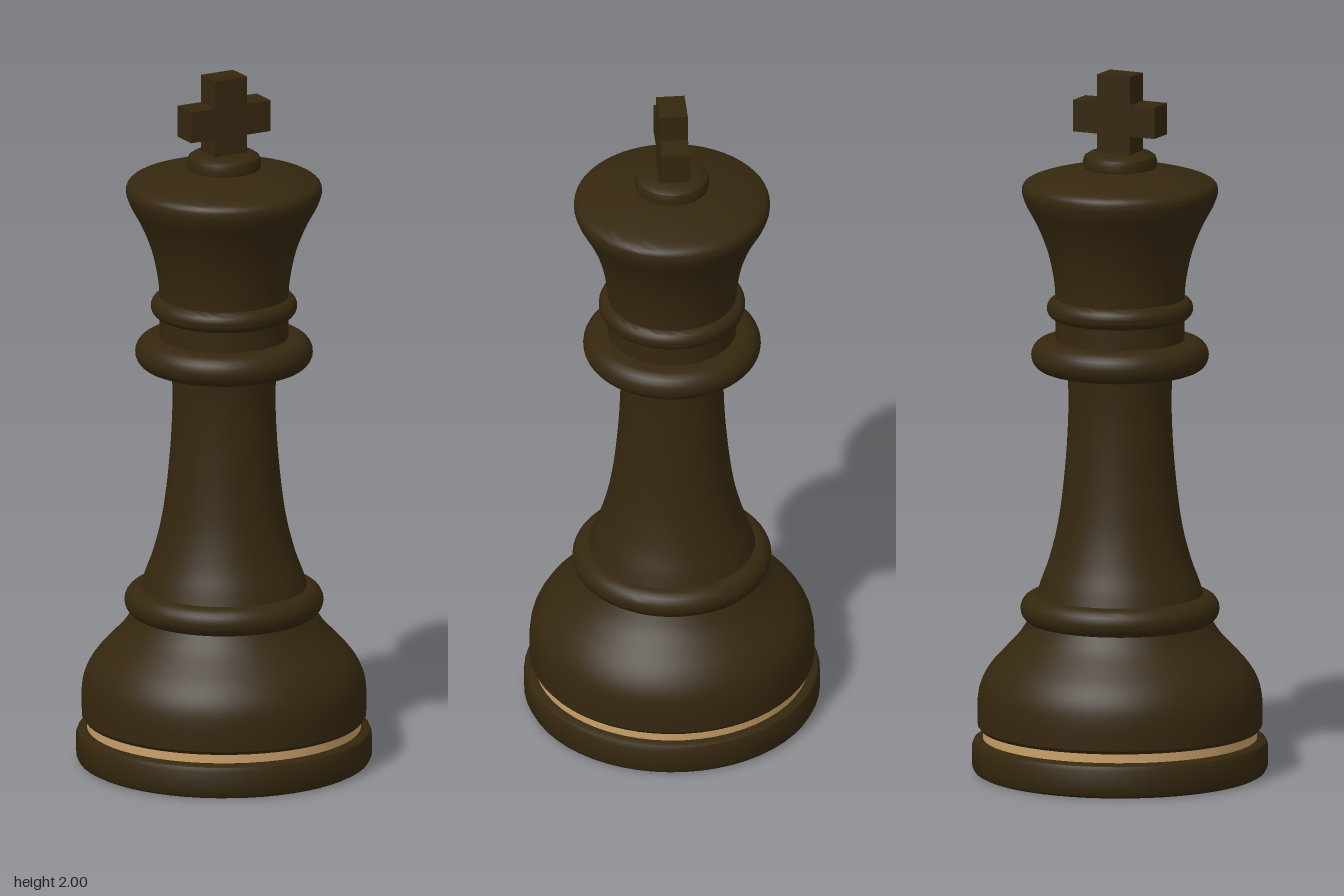
import * as THREE from 'three';
import { toCreasedNormals } from 'three/addons/utils/BufferGeometryUtils.js';

const darkWood = new THREE.MeshStandardMaterial({ color: 0x35270f });
darkWood.name = 'darkWood';
const paleWood = new THREE.MeshStandardMaterial({ color: 0xc8a068 });
paleWood.name = 'paleWood';

const vec = ([r, y]) => new THREE.Vector2(r, y);
const smooth = (pts, n = 20) => new THREE.SplineCurve(pts.map(vec)).getPoints(n);

export function createModel() {
  const king = new THREE.Group();
  king.name = 'chessKing';

  const add = (name, geometry, material = darkWood) => {
    const mesh = new THREE.Mesh(geometry, material);
    mesh.name = name;
    king.add(mesh);
  };
  // Turned part, profile running from bottom to top
  const turn = (name, points, material) =>
    add(name, toCreasedNormals(new THREE.LatheGeometry(points, 56), 0.6), material);
  // Rounded ring with a half-oval section, from inner to outer radius
  const bead = (name, y0, y1, inner, outer) => {
    const h = (y1 - y0) / 2, pts = [vec([inner, y0])];
    for (let i = 0; i <= 12; i++) {
      const a = (i / 12 - 0.5) * Math.PI;
      pts.push(vec([outer - h + h * Math.cos(a), y0 + h + h * Math.sin(a)]));
    }
    pts.push(vec([inner, y1]));
    turn(name, pts);
  };

  // Foot and inlaid band
  turn('foot', [[0, 0], [0.398, 0], [0.409, 0.006], [0.416, 0.02], [0.416, 0.08],
    [0.411, 0.092], [0.4, 0.098], [0.36, 0.1]].map(vec));
  turn('inlayBand', [[0.386, 0.095], [0.386, 0.13]].map(vec), paleWood);

  // Bulging lower body
  turn('lowerBody', [vec([0.37, 0.125]), vec([0.392, 0.125]), ...smooth([[0.4, 0.135], [0.401, 0.2],
    [0.392, 0.255], [0.365, 0.305], [0.325, 0.35], [0.285, 0.393], [0.258, 0.435]])]);
  bead('lowerBead', 0.428, 0.512, 0.2, 0.28);

  // Flared stem
  turn('stem', smooth([[0.238, 0.5], [0.222, 0.55], [0.2, 0.61], [0.177, 0.7], [0.162, 0.8],
    [0.15, 0.93], [0.145, 1.06], [0.149, 1.17]], 28));

  // Collar rings and neck
  bead('collar', 1.15, 1.24, 0.13, 0.25);
  turn('neck', [[0.181, 1.23], [0.181, 1.38]].map(vec));
  bead('upperBead', 1.298, 1.36, 0.16, 0.206);

  // Crown with a shallow domed top
  turn('crown', [...smooth([[0.181, 1.35], [0.186, 1.41], [0.203, 1.49], [0.232, 1.565],
    [0.264, 1.625], [0.275, 1.655]]), ...smooth([[0.276, 1.665], [0.272, 1.682],
    [0.25, 1.697], [0.18, 1.717], [0.1, 1.732], [0, 1.737]], 16)]);
  turn('finialButton', [[0.09, 1.722], [0.103, 1.733], [0.105, 1.75], [0.1, 1.765],
    [0.086, 1.774], [0.05, 1.778], [0, 1.778]].map(vec));

  // Cross
  const x = 0.052, arm = 0.128, y0 = 1.83, y1 = 1.92;
  const outline = [[-x, 1.76], [x, 1.76], [x, y0], [arm, y0], [arm, y1], [x, y1],
    [x, 2], [-x, 2], [-x, y1], [-arm, y1], [-arm, y0], [-x, y0]];
  const cross = new THREE.ExtrudeGeometry(new THREE.Shape(outline.map(vec)),
    { depth: 0.08, bevelEnabled: false });
  cross.translate(0, 0, -0.04);
  add('cross', cross);

  return king;
}
